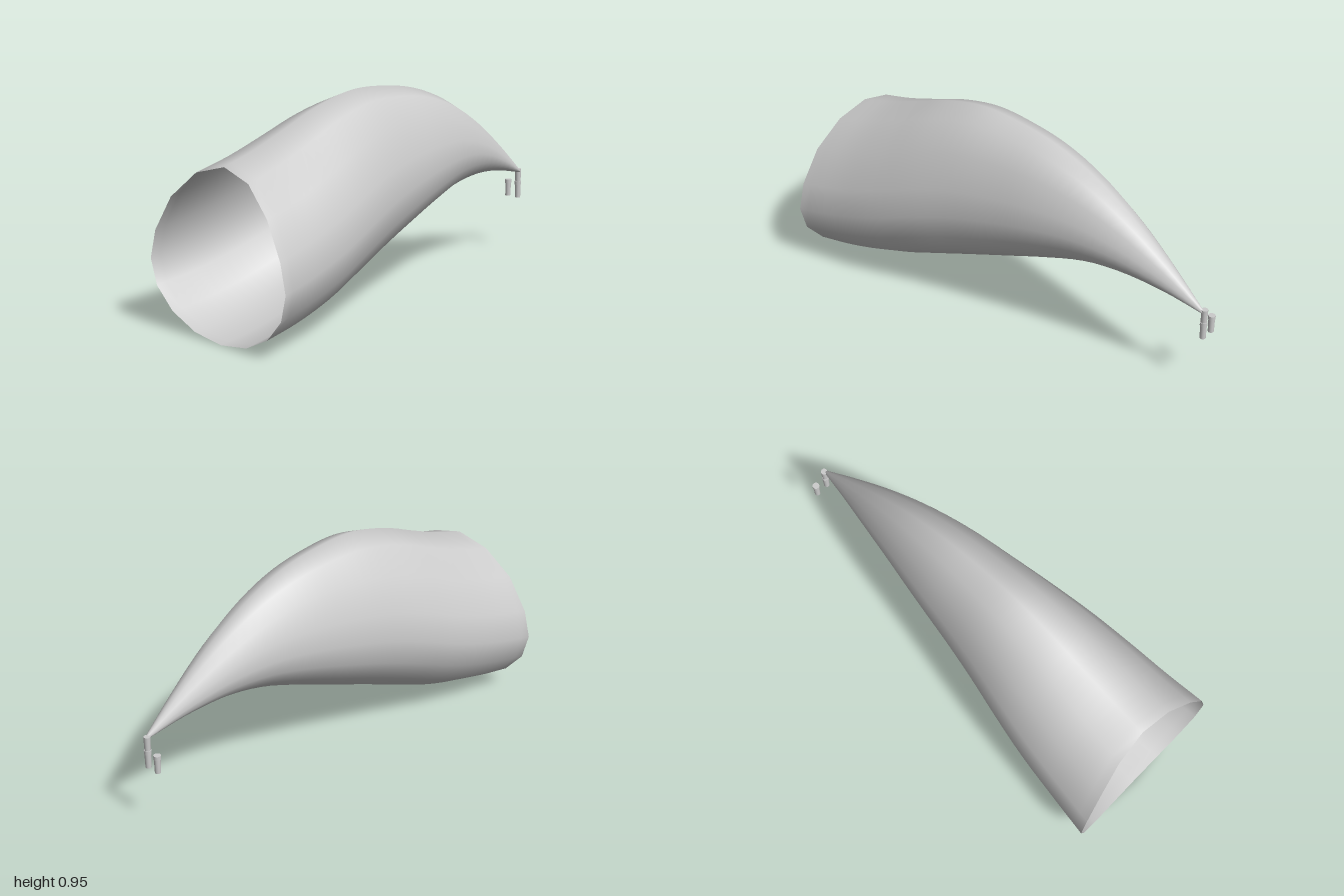
import * as THREE from 'three';

const SIDES = 16;
const RINGS = 40;

// Stations from the open mouth to the tip: z, bottom y, top y, half width
const STATIONS = [
  [0.98, 0.0, 0.73, 0.4], [0.8, 0.022, 0.775, 0.375], [0.6, 0.068, 0.84, 0.348],
  [0.4, 0.138, 0.908, 0.312], [0.2, 0.21, 0.948, 0.27], [0, 0.283, 0.94, 0.232],
  [-0.2, 0.357, 0.905, 0.197], [-0.4, 0.42, 0.83, 0.155], [-0.6, 0.445, 0.712, 0.108],
  [-0.8, 0.43, 0.56, 0.055], [-0.985, 0.39, 0.402, 0.006],
];

// Hollow, drooping horn swept through egg-shaped sections
function hornGeometry() {
  const heights = new THREE.CatmullRomCurve3(STATIONS.map(([z, lo, hi]) => new THREE.Vector3(z, lo, hi)));
  const widths = new THREE.CatmullRomCurve3(STATIONS.map(([z, , , w]) => new THREE.Vector3(z, w, 0)));
  const positions = [];
  const index = [];
  for (let i = 0; i <= RINGS; i++) {
    const { x: z, y: low, z: high } = heights.getPoint(i / RINGS);
    const width = widths.getPoint(i / RINGS).y;
    const mid = low + (high - low) * 0.404;
    const rim = Math.max(0, (z - 0.5) / 0.48); // mouth edge is gently bowed
    for (let j = 0; j < SIDES; j++) {
      const a = (j / SIDES) * Math.PI * 2;
      const c = Math.cos(a);
      const s = Math.sin(a);
      const y = c > 0 ? mid + (high - mid) * Math.pow(c, 1.3) : mid + (mid - low) * c;
      const bow = rim * (0.02 * s * s - 0.04 * Math.pow(Math.max(0, c), 4));
      positions.push(width * s, y, z + bow);
      if (i < RINGS) {
        const p = i * SIDES + j;
        const q = i * SIDES + ((j + 1) % SIDES);
        index.push(p, q, p + SIDES, q, q + SIDES, p + SIDES);
      }
    }
  }
  const geometry = new THREE.BufferGeometry();
  geometry.setAttribute('position', new THREE.Float32BufferAttribute(positions, 3));
  geometry.setIndex(index);
  geometry.computeVertexNormals();
  return geometry;
}

export function createModel() {
  const group = new THREE.Group();
  const material = new THREE.MeshStandardMaterial({ color: 0xcccccc, side: THREE.DoubleSide });

  const add = (name, geometry, x = 0, y = 0, z = 0) => {
    const mesh = new THREE.Mesh(geometry, material);
    mesh.name = name;
    mesh.position.set(x, y, z);
    group.add(mesh);
  };
  const cylinder = (top, bottom, y0, y1) =>
    new THREE.CylinderGeometry(top, bottom, y1 - y0, 12).translate(0, (y0 + y1) / 2, 0);

  add('horn', hornGeometry());

  // Small pendants at the tip: a stem on one, a collar and a tapered body on both
  const tipZ = -0.983;
  add('pendantStem', cylinder(0.015, 0.013, 0.34, 0.408), -0.008, 0, tipZ);
  for (const x of [-0.008, -0.068]) {
    add('pendantCollar', cylinder(0.016, 0.016, 0.328, 0.346), x, 0, tipZ);
    add('pendantBody', cylinder(0.014, 0.013, 0.265, 0.328), x, 0, tipZ);
  }
  return group;
}
